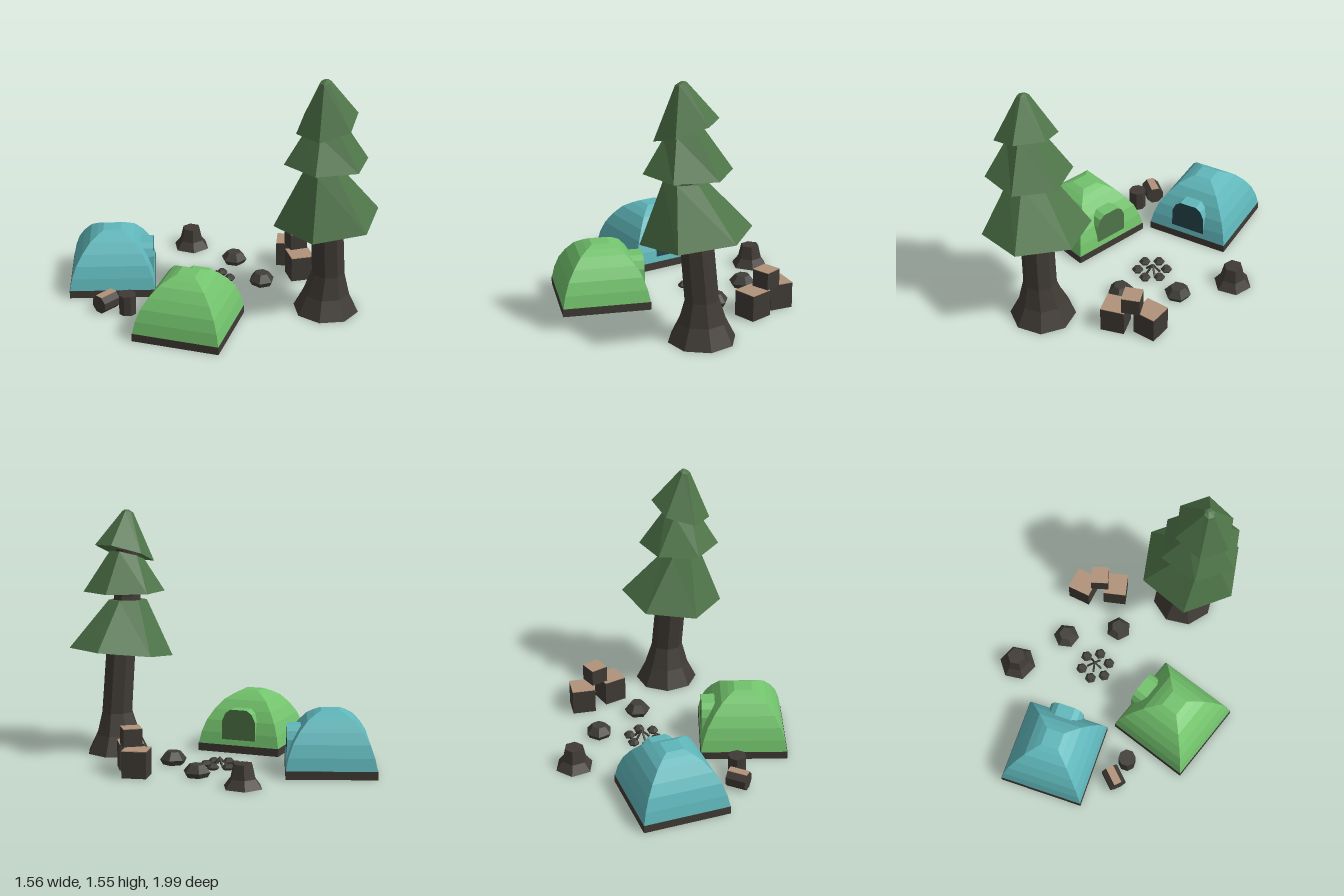
import * as THREE from 'three';

const mat = (name, color) => {
  const m = new THREE.MeshStandardMaterial({ color });
  m.name = name;
  return m;
};

// Faceted loft through polygon rings [radius, y, centreX, centreZ, tilt]; tilt raises the +x side
function loft(rings, sides, start = 0, capBottom = true, capTop = true) {
  const pos = [];
  const point = ([r, y, cx = 0, cz = 0, tilt = 0], i) => {
    const a = start + (i / sides) * Math.PI * 2;
    const x = Math.cos(a) * r;
    return [cx + x, y + x * tilt, cz + Math.sin(a) * r];
  };
  const centre = ([, y, cx = 0, cz = 0]) => [cx, y, cz];
  const first = rings[0], last = rings[rings.length - 1];
  for (let i = 0; i < sides; i++) {
    for (let k = 0; k + 1 < rings.length; k++) {
      const b0 = point(rings[k], i), b1 = point(rings[k], i + 1);
      const t0 = point(rings[k + 1], i), t1 = point(rings[k + 1], i + 1);
      pos.push(...b0, ...t0, ...t1, ...b0, ...t1, ...b1);
    }
    if (capBottom) pos.push(...centre(first), ...point(first, i), ...point(first, i + 1));
    if (capTop) pos.push(...centre(last), ...point(last, i + 1), ...point(last, i));
  }
  const g = new THREE.BufferGeometry();
  g.setAttribute('position', new THREE.Float32BufferAttribute(pos, 3));
  g.computeVertexNormals();
  return g;
}

function add(parent, name, geometry, material, x = 0, y = 0, z = 0) {
  const m = new THREE.Mesh(geometry, material);
  m.name = name;
  m.position.set(x, y, z);
  parent.add(m);
  return m;
}

function group(parent, name, x = 0, z = 0, turn = 0) {
  const g = new THREE.Group();
  g.name = name;
  g.position.set(x, 0, z);
  g.rotation.y = turn;
  parent.add(g);
  return g;
}

export function createModel() {
  const model = new THREE.Group();
  model.name = 'campsite';
  const bark = mat('dark bark', 0x3f3a34);
  const stone = mat('dark stone', 0x3f3e38);
  const foliage = mat('pine green', 0x4f7549);
  const greenCloth = mat('green cloth', 0x72c26c);
  const tealCloth = mat('teal cloth', 0x5fb6ba);
  const darkTeal = mat('dark teal', 0x27464e);
  const wood = mat('pale wood', 0xb0927a);

  // Tents: square dome, dark skirt, floor and a hooded doorway facing local +z
  const tent = (name, x, z, turn, cloth, inside) => {
    const t = group(model, name, x, z, turn);
    const q = Math.PI / 4;
    add(t, 'floor', loft([[0.383, 0], [0.383, 0.005]], 4, q), inside);
    add(t, 'skirt', loft([[0.386, 0], [0.386, 0.05]], 4, q, false), bark);
    add(t, 'dome', loft([[0.383, 0.05], [0.362, 0.125], [0.325, 0.2], [0.27, 0.265], [0.2, 0.325],
      [0.135, 0.355], [0.08, 0.375]], 4, q, false), cloth);
    const arch = new THREE.Shape([[-0.115, 0.052], [0.115, 0.052], [0.112, 0.205], [0.09, 0.255],
      [0.055, 0.28], [-0.055, 0.28], [-0.09, 0.255], [-0.112, 0.205]].map(p => new THREE.Vector2(...p)));
    add(t, 'doorway', new THREE.ExtrudeGeometry(arch, { depth: 0.2, bevelEnabled: false }),
      [inside, cloth], 0, 0, 0.064);
  };
  tent('tealTent', -0.29, -0.61, Math.PI / 4, tealCloth, darkTeal);
  tent('greenTent', -0.418, 0.193, 2.016, greenCloth, foliage);

  // Pine tree with a flared trunk leaning to the right and three tilted tiers
  const tree = group(model, 'pineTree');
  add(tree, 'trunk', loft([[0.205, 0, 0.335, 0.66], [0.145, 0.12, 0.335, 0.66], [0.103, 0.26, 0.335, 0.67],
    [0.1, 0.63, 0.302, 0.67], [0.092, 1, 0.225, 0.69], [0.075, 1.3, 0.225, 0.69]], 8, 0.3), bark);
  const tiers = [
    [[0.11, 0.78, 0.28, 0.67], [0.33, 0.645, 0.3, 0.665, 0.115], [0.122, 0.975, 0.23, 0.68]],
    [[0.09, 1.12, 0.24, 0.69], [0.26, 1.03, 0.255, 0.685], [0.11, 1.26, 0.225, 0.69, 0.3]],
    [[0.06, 1.38, 0.225, 0.69], [0.188, 1.275, 0.245, 0.69, 0.34], [0.035, 1.535, 0.215, 0.69, 0.2],
      [0.012, 1.55, 0.225, 0.69]],
  ];
  tiers.forEach((rings, i) => add(tree, 'foliageTier' + (i + 1), loft(rings, 6, -0.43), foliage));

  // Crates with pale lids: [x, z, side, height, base, turn]
  [[0.675, 0.065, 0.15, 0.165, 0, 0.65], [0.565, 0.255, 0.15, 0.165, 0, -0.58],
    [0.63, 0.168, 0.115, 0.11, 0.165, -0.5]].forEach(([x, z, s, h, y, turn]) => {
    const c = group(model, 'crate', x, z, turn);
    add(c, 'crateBody', new THREE.BoxGeometry(s, h - 0.004, s), bark, 0, y + h / 2 - 0.002);
    add(c, 'crateLid', new THREE.BoxGeometry(s, 0.004, s), wood, 0, y + h - 0.002);
  });

  // Stump and loose rocks
  add(model, 'stump', loft([[0.122, 0], [0.08, 0.055], [0.06, 0.14]], 6, 0.15), bark, 0.4, 0, -0.565);
  const rock = (parent, name, x, z, r, h, turn) => add(parent, name,
    loft([[r * 0.8, 0], [r, h * 0.4], [r * 0.55, h]], 6, turn), stone, x, 0, z);
  rock(model, 'rock', 0.42, -0.19, 0.086, 0.075, 0.05);
  rock(model, 'rock', 0.31, 0.15, 0.084, 0.08, 0.5);

  // Campfire: ring of stones around a small stack of sticks
  const fire = group(model, 'campfire', 0.145, -0.105);
  for (let i = 0; i < 6; i++) {
    const a = 0.8 + i * Math.PI / 3;
    rock(fire, 'fireStone', Math.cos(a) * 0.09, Math.sin(a) * 0.093, 0.038, 0.034, a);
  }
  for (let i = 0; i < 5; i++) {
    const stick = group(fire, 'stick', 0.01, 0, i * 1.257 + 0.3);
    const m = add(stick, 'stickWood', new THREE.CylinderGeometry(0.006, 0.008, 0.075, 5), bark, 0, 0.033, 0.022);
    m.rotation.x = -0.75;
  }

  // Upright log, and a lying log with a pale flat top
  add(model, 'uprightLog', loft([[0.056, 0], [0.056, 0.13]], 8, Math.PI / 8), bark, -0.55, 0, -0.21);
  const log = group(model, 'logSeat', -0.612, -0.337);
  const body = add(log, 'logBody', loft([[0.059, -0.063], [0.059, 0.063]], 8, Math.PI / 8), bark, 0, 0.055, 0);
  body.rotation.z = Math.PI / 2;
  add(log, 'seatTop', new THREE.BoxGeometry(0.126, 0.004, 0.05), wood, 0, 0.111, 0);

  return model;
}
